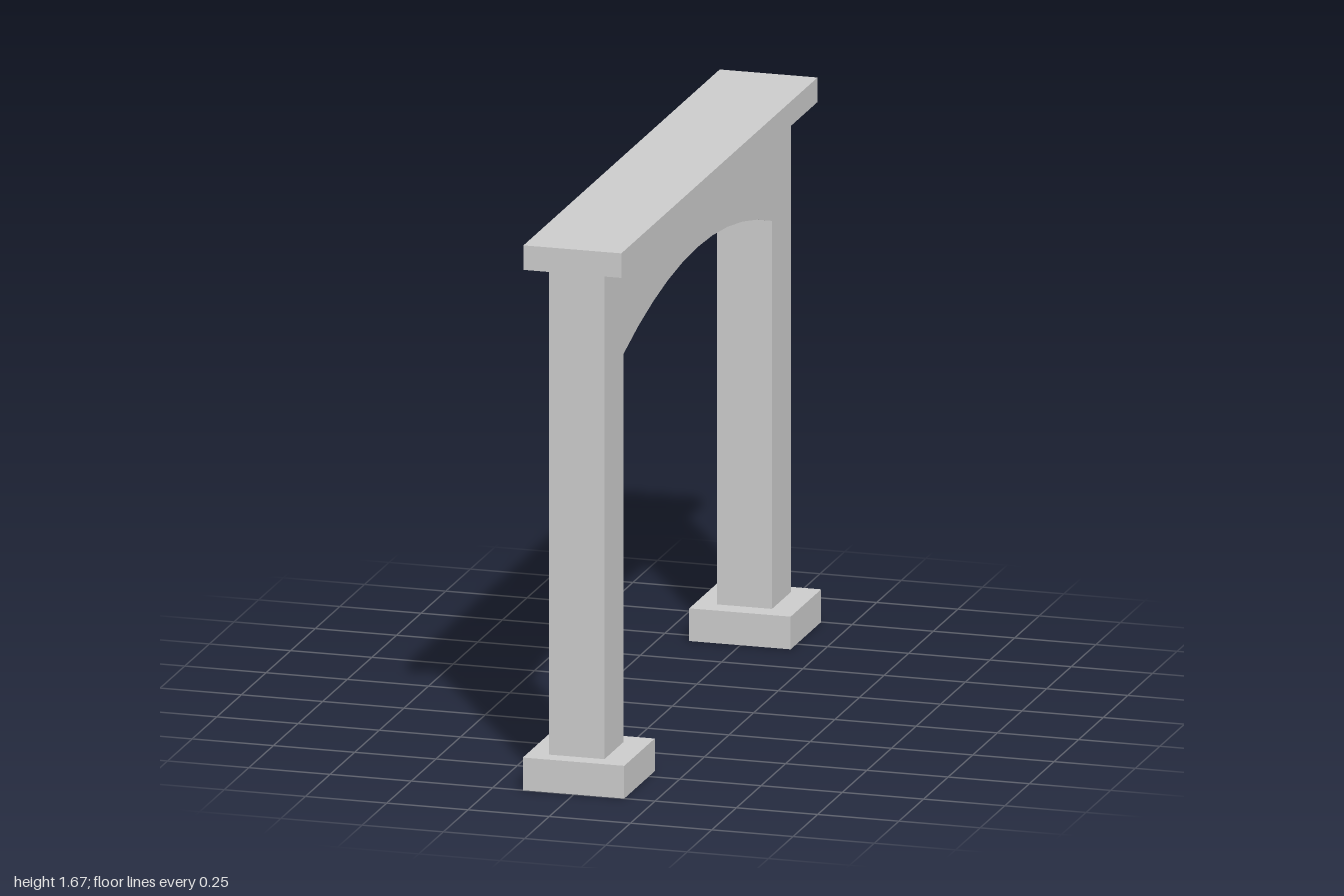
import * as THREE from 'three';

export function createModel() {
  const group = new THREE.Group();
  const material = new THREE.MeshStandardMaterial({ color: 0xcccccc, flatShading: true });

  const add = (name, geometry) => {
    const mesh = new THREE.Mesh(geometry, material);
    mesh.name = name;
    group.add(mesh);
    return mesh;
  };

  // Box given by its minimum and maximum corners
  const addBlock = (name, min, max) => {
    const size = max.map((v, i) => v - min[i]);
    add(name, new THREE.BoxGeometry(...size))
      .position.set(...min.map((v, i) => v + size[i] / 2));
  };

  // Footing under each pillar
  addBlock('frontBase', [-0.157, 0, 0.69], [0.155, 0.1, 1]);
  addBlock('backBase', [-0.157, 0, -1], [0.155, 0.1, -0.69]);

  // Pillars and arched beam as one profile (z, y), extruded across x
  const halfSpan = 0.755, springY = 1.287, rise = 0.124, steps = 10;
  const profile = new THREE.Shape();
  profile.moveTo(-0.947, 0.1);
  profile.lineTo(-halfSpan, 0.1);
  for (let i = 0; i <= steps; i++) {
    const t = (2 * i) / steps - 1;
    profile.lineTo(t * halfSpan, springY + rise * (1 - t * t));
  }
  profile.lineTo(halfSpan, 0.1);
  profile.lineTo(0.947, 0.1);
  profile.lineTo(0.947, 1.592);
  profile.lineTo(-0.947, 1.592);
  profile.closePath();
  const arch = new THREE.ExtrudeGeometry(profile, { depth: 0.17, bevelEnabled: false });
  arch.rotateY(-Math.PI / 2).translate(0.078, 0, 0);
  add('pillarsAndArch', arch);

  // Flat coping slab on top
  addBlock('topSlab', [-0.155, 1.592, -0.993], [0.146, 1.667, 1]);

  return group;
}
